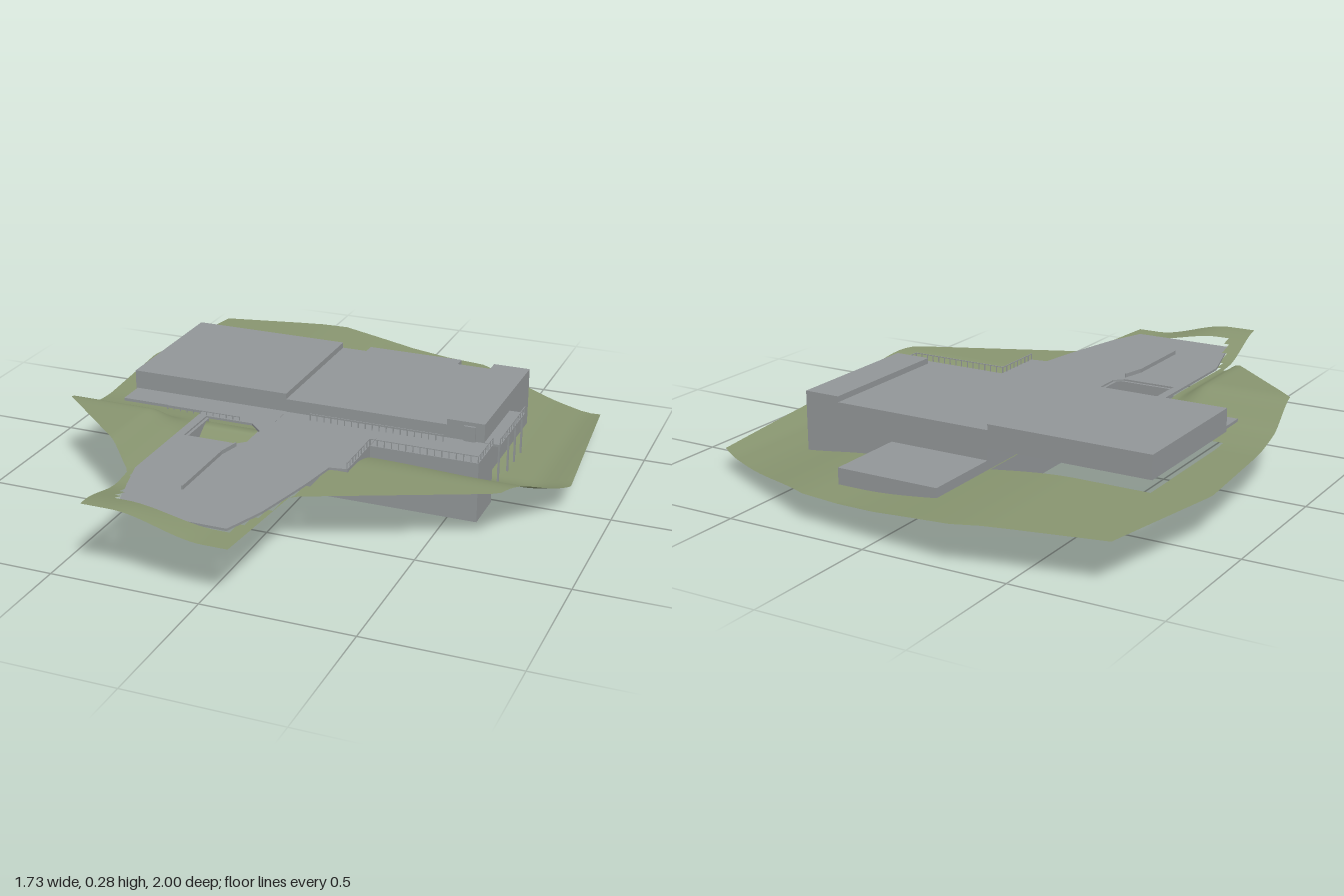
import * as THREE from 'three';

const concrete = new THREE.MeshStandardMaterial({ color: 0x919597, side: THREE.DoubleSide });
concrete.name = 'concrete grey';
const grass = new THREE.MeshStandardMaterial({ color: 0x87946f, side: THREE.DoubleSide });
grass.name = 'grass green';

const step = THREE.MathUtils.smoothstep;

// plot outline as left and right chains of [x, z], back to front
const leftEdge = [[-0.31, -1], [-0.78, -0.9], [-0.87, -0.43], [-0.82, 0.28], [-0.42, 0.63], [-0.38, 1]];
const rightEdge = [[-0.31, -1], [0.28, -0.92], [0.8, -0.66], [0.86, 0], [0.72, 0.35], [0.13, 0.61], [0.1, 1]];

// forecourt outline [x, z]
const court = [[-0.4, 0.12], [-0.14, 0.12], [0.23, 0.12], [0.23, 0.38], [0.17, 0.39], [0.15, 0.52],
  [0.13, 0.62], [0.1, 0.76], [0.05, 0.9], [-0.32, 0.9], [-0.36, 0.76], [-0.4, 0.62]];
const pit = { x0: -0.37, x1: -0.15, z0: 0.16, z1: 0.33 };

function edgeX(chain, z) {
  for (let i = 0; i < chain.length - 1; i++) {
    const [x0, z0] = chain[i], [x1, z1] = chain[i + 1];
    if (z <= z1) return x0 + (x1 - x0) * (z - z0) / (z1 - z0);
  }
  return chain[chain.length - 1][0];
}

function insideCourt(x, z) {
  let inside = false;
  court.forEach(([ax, az], i) => {
    const [bx, bz] = court[(i + 1) % court.length];
    if ((az > z) !== (bz > z) && x < ax + (bx - ax) * (z - az) / (bz - az)) inside = !inside;
  });
  return inside;
}

const inPit = (x, z) => x > pit.x0 && x < pit.x1 && z > pit.z0 && z < pit.z1;

function groundHeight(x, z) {
  if (inPit(x, z)) return 0.205 - 0.09 * step(z, pit.z0, pit.z1);
  // low ground falls to the right, front ground is an upper level
  const low = 0.15 - 0.05 * step(x, -0.45, 0.15) - 0.035 * step(x, 0.25, 0.65) + 0.025 * step(x, 0.72, 0.87);
  let y = low + (0.2 - low) * step(z, -0.05, 0.32);
  // hill on the left and rising lip at the front
  y += 0.06 * step(z, 0.12, 0.28) * (1 - step(x, -0.53, -0.41));
  y += 0.06 * step(z, 0.7, 1) * (1 - step(x, -0.28, 0.02));
  return y;
}

function buildGround() {
  const d = 0.02, cols = 88, rows = 100, pos = [], index = [];
  for (let j = 0; j <= rows; j++) {
    const z = -1 + j * d, lo = edgeX(leftEdge, z), hi = edgeX(rightEdge, z);
    for (let i = 0; i <= cols; i++) {
      const x = THREE.MathUtils.clamp(-0.88 + i * d, lo, hi);
      pos.push(x, groundHeight(x, z), z);
    }
  }
  for (let j = 0; j < rows; j++) {
    for (let i = 0; i < cols; i++) {
      const a = j * (cols + 1) + i, b = a + 1, c = a + cols + 1, e = c + 1;
      if (pos[b * 3] - pos[a * 3] < 1e-6 && pos[e * 3] - pos[c * 3] < 1e-6) continue;
      // openings under the forecourt and the raised wing
      const x = -0.87 + i * d, z = -0.99 + j * d;
      if (insideCourt(x, z) && !inPit(x, z)) continue;
      if (x > -0.71 && x < -0.14 && z > -0.51 && z < 0.02) continue;
      index.push(a, c, b, b, c, e);
    }
  }
  const g = new THREE.BufferGeometry();
  g.setAttribute('position', new THREE.Float32BufferAttribute(pos, 3));
  g.setIndex(index);
  g.computeVertexNormals();
  const mesh = new THREE.Mesh(g, grass);
  mesh.name = 'ground';
  return mesh;
}

function buildForecourt() {
  // shape y is -z, so the extrusion lies flat with its top up
  const shape = new THREE.Shape(court.map(([x, z]) => new THREE.Vector2(x, -z)));
  const { x0, x1, z0, z1 } = pit;
  shape.holes.push(new THREE.Path([[x0, z0], [x1 - 0.05, z0], [x1, z0 + 0.05], [x1, z1 - 0.03],
    [x1 - 0.03, z1], [x0, z1]].map(([x, z]) => new THREE.Vector2(x, -z))));
  const g = new THREE.ExtrudeGeometry(shape, { depth: 0.008, bevelEnabled: false });
  g.rotateX(-Math.PI / 2);
  const mesh = new THREE.Mesh(g, concrete);
  mesh.name = 'forecourt';
  mesh.position.y = 0.203;
  return mesh;
}

export function createModel() {
  const model = new THREE.Group();
  model.name = 'hillsideBuilding';

  function box(name, x0, x1, y0, y1, z0, z1, parent = model) {
    const m = new THREE.Mesh(new THREE.BoxGeometry(x1 - x0, y1 - y0, z1 - z0), concrete);
    m.name = name;
    m.position.set((x0 + x1) / 2, (y0 + y1) / 2, (z0 + z1) / 2);
    parent.add(m);
    return m;
  }

  // row of posts with a top rail, along x or z
  function railing(name, xa, za, xb, zb, y = 0.21, height = 0.024) {
    const g = new THREE.Group();
    g.name = name;
    const n = Math.max(2, Math.round(Math.hypot(xb - xa, zb - za) / 0.025)), t = 0.0015;
    for (let i = 0; i <= n; i++) {
      const x = xa + (xb - xa) * i / n, z = za + (zb - za) * i / n;
      box('railPost', x - t, x + t, y, y + height, z - t, z + t, g);
    }
    box('topRail', Math.min(xa, xb) - t, Math.max(xa, xb) + t, y + height - 0.003, y + height,
      Math.min(za, zb) - t, Math.max(za, zb) + t, g);
    model.add(g);
  }

  model.add(buildGround(), buildForecourt());

  // main volumes
  box('basement', -0.135, 0.44, 0.005, 0.1, -0.51, 0.02);
  box('mainHall', -0.135, 0.44, 0.05, 0.255, -0.51, 0.02);
  box('endBlock', 0.44, 0.57, 0.05, 0.275, -0.51, 0.02);
  box('raisedWing', -0.71, -0.135, 0.195, 0.275, -0.51, 0.02);
  box('rearExtension', -0.135, 0.23, 0.07, 0.155, -0.8, -0.51);

  // terraces along the front
  box('terraceBlock', -0.135, 0.6, 0, 0.209, 0.02, 0.18);
  box('wingTerrace', -0.705, -0.135, 0.2, 0.21, 0.02, 0.12);
  box('entranceSlab', -0.135, 0.23, 0.15, 0.203, 0.18, 0.38);
  box('entranceDoor', 0.5, 0.54, 0.209, 0.262, 0.02, 0.028);

  // side balcony on slim posts
  box('balcony', 0.57, 0.625, 0.203, 0.211, -0.27, 0.02);
  for (const z of [0.01, -0.1, -0.18, -0.26]) box('balconyPost', 0.615, 0.621, 0.05, 0.205, z - 0.003, z + 0.003);

  // walls of the sunken yard
  box('yardWall', pit.x0, pit.x0 + 0.01, 0.085, 0.205, pit.z0, pit.z1);
  box('yardWall', pit.x1 - 0.01, pit.x1, 0.085, 0.205, pit.z0, pit.z1);
  box('yardWall', pit.x0, pit.x1, 0.085, 0.205, pit.z1 - 0.01, pit.z1);
  box('yardFloor', pit.x0, pit.x1, 0.085, 0.09, pit.z0, pit.z1);

  // low divider on the forecourt
  box('dividerWall', -0.193, -0.187, 0.203, 0.225, 0.43, 0.71);
  const bend = box('dividerBend', -0.183, -0.179, 0.203, 0.225, 0.35, 0.43);
  bend.rotation.y = -0.22;

  // railings
  railing('wingRailing', -0.52, 0.153, -0.25, 0.153, 0.21, 0.015);
  railing('terraceRailing', 0.23, 0.178, 0.598, 0.178);
  railing('slabRailing', 0.228, 0.18, 0.228, 0.38);
  railing('terraceEndRailing', 0.598, 0.02, 0.598, 0.178);
  railing('balconyRailing', 0.623, -0.268, 0.623, 0.018);
  railing('hallRailing', -0.03, 0.06, 0.44, 0.06);

  return model;
}
